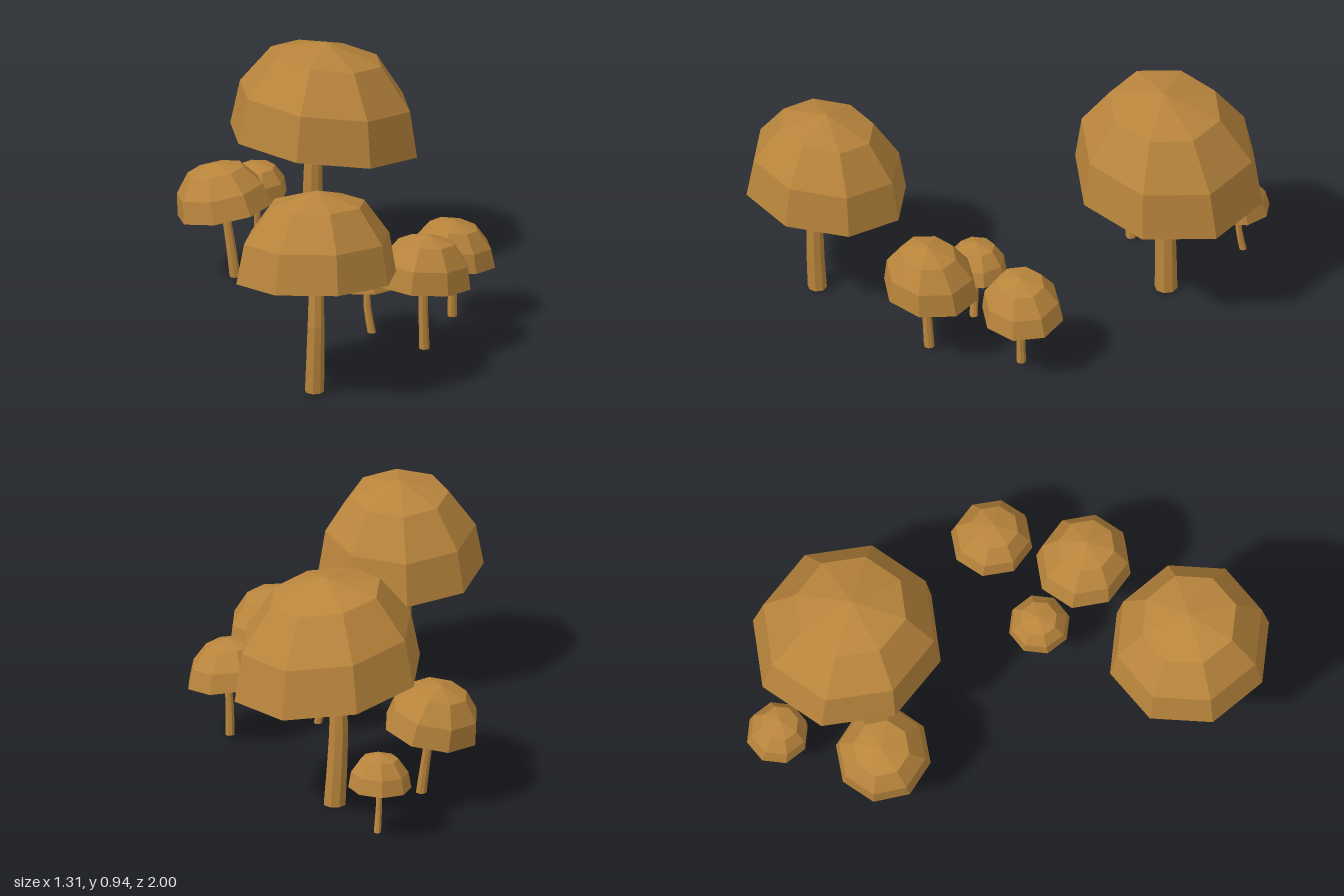
import * as THREE from 'three';

// Each mushroom: rim centre, rim radius, rim slope along x and z, apex, turn in degrees,
// stem points from base to top, stem radii at base and top.
const MUSHROOMS = [
  { name: 'largeBackMushroom', rim: [-0.11, 0.53, -0.625], radius: 0.378, slope: [-0.1, 0.1],
    apex: [-0.095, 0.945, -0.61], turn: 6.5,
    stem: [[-0.135, 0, -0.61], [-0.15, 0.3, -0.605], [-0.14, 0.57, -0.595]], stemRadius: [0.045, 0.034] },
  { name: 'largeFrontMushroom', rim: [0.085, 0.463, 0.692], radius: 0.322, slope: [0.04, 0.12],
    apex: [0.09, 0.825, 0.69], turn: 20,
    stem: [[0.085, 0.005, 0.727], [0.092, 0.28, 0.735], [0.09, 0.51, 0.71]], stemRadius: [0.038, 0.028] },
  { name: 'leftRearMediumMushroom', rim: [-0.466, 0.292, -0.428], radius: 0.188, slope: [0.2, 0.03],
    apex: [-0.51, 0.485, -0.43], turn: 3,
    stem: [[-0.425, 0.02, -0.425], [-0.44, 0.14, -0.422], [-0.468, 0.31, -0.43]], stemRadius: [0.022, 0.017] },
  { name: 'smallBackMushroom', rim: [-0.415, 0.203, -0.852], radius: 0.123, slope: [0.02, -0.04],
    apex: [-0.41, 0.34, -0.84], turn: 20,
    stem: [[-0.411, 0.02, -0.868], [-0.411, 0.11, -0.852], [-0.411, 0.22, -0.848]], stemRadius: [0.015, 0.011] },
  { name: 'rightMediumMushroom', rim: [0.488, 0.252, -0.147], radius: 0.162, slope: [-0.13, 0.03],
    apex: [0.487, 0.42, -0.135], turn: 4,
    stem: [[0.48, 0.02, -0.14], [0.481, 0.14, -0.138], [0.492, 0.27, -0.14]], stemRadius: [0.019, 0.015] },
  { name: 'rightFrontMediumMushroom', rim: [0.428, 0.286, 0.223], radius: 0.189, slope: [-0.05, 0.09],
    apex: [0.445, 0.495, 0.235], turn: 5,
    stem: [[0.433, 0.02, 0.23], [0.431, 0.15, 0.238], [0.43, 0.31, 0.24]], stemRadius: [0.021, 0.017] },
  { name: 'smallFrontMushroom', rim: [0.182, 0.213, 0.087], radius: 0.122, slope: [0.03, 0.02],
    apex: [0.165, 0.34, 0.087], turn: 21,
    stem: [[0.202, 0.02, 0.092], [0.185, 0.12, 0.092], [0.182, 0.23, 0.09]], stemRadius: [0.017, 0.013] },
];

// Cap profile as radius and height fractions: shallow hollow underside, then dome
const CAP_PROFILE = [[0, 0.08], [1, 0], [0.91, 0.45], [0.59, 0.85], [0, 1]]
  .map(([r, h]) => new THREE.Vector2(r, h));

function moveVertices(geometry, rule) {
  const pos = geometry.attributes.position;
  const v = new THREE.Vector3();
  for (let i = 0; i < pos.count; i++) {
    v.fromBufferAttribute(pos, i);
    rule(v);
    pos.setXYZ(i, v.x, v.y, v.z);
  }
  geometry.computeVertexNormals();
  return geometry;
}

// Eight-sided dome, leaned so its rim follows the slope and its tip meets the apex
function capGeometry({ rim, radius, slope, apex, turn }) {
  const geometry = new THREE.LatheGeometry(CAP_PROFILE, 8, -THREE.MathUtils.degToRad(turn));
  return moveVertices(geometry, (v) => {
    const h = v.y, x = v.x * radius, z = v.z * radius;
    v.set(
      rim[0] + x + h * (apex[0] - rim[0]),
      rim[1] + slope[0] * x + slope[1] * z + h * (apex[1] - rim[1]),
      rim[2] + z + h * (apex[2] - rim[2]));
  });
}

// Tapered stem bent along its points
function stemGeometry({ stem, stemRadius }) {
  const path = new THREE.CatmullRomCurve3(stem.map((p) => new THREE.Vector3(...p)));
  const geometry = new THREE.CylinderGeometry(stemRadius[1], stemRadius[0], 1, 8, 4);
  return moveVertices(geometry, (v) => {
    const centre = path.getPoint(THREE.MathUtils.clamp(v.y + 0.5, 0, 1));
    v.set(centre.x + v.x, centre.y, centre.z + v.z);
  });
}

export function createModel() {
  const model = new THREE.Group();
  model.name = 'mushroomCluster';
  const brown = new THREE.MeshStandardMaterial({ color: 0xb9853c, flatShading: true });
  brown.name = 'mushroomBrown';

  for (const spec of MUSHROOMS) {
    const mushroom = new THREE.Group();
    mushroom.name = spec.name;
    const cap = new THREE.Mesh(capGeometry(spec), brown);
    cap.name = 'cap';
    const stem = new THREE.Mesh(stemGeometry(spec), brown);
    stem.name = 'stem';
    mushroom.add(cap, stem);
    model.add(mushroom);
  }
  return model;
}
